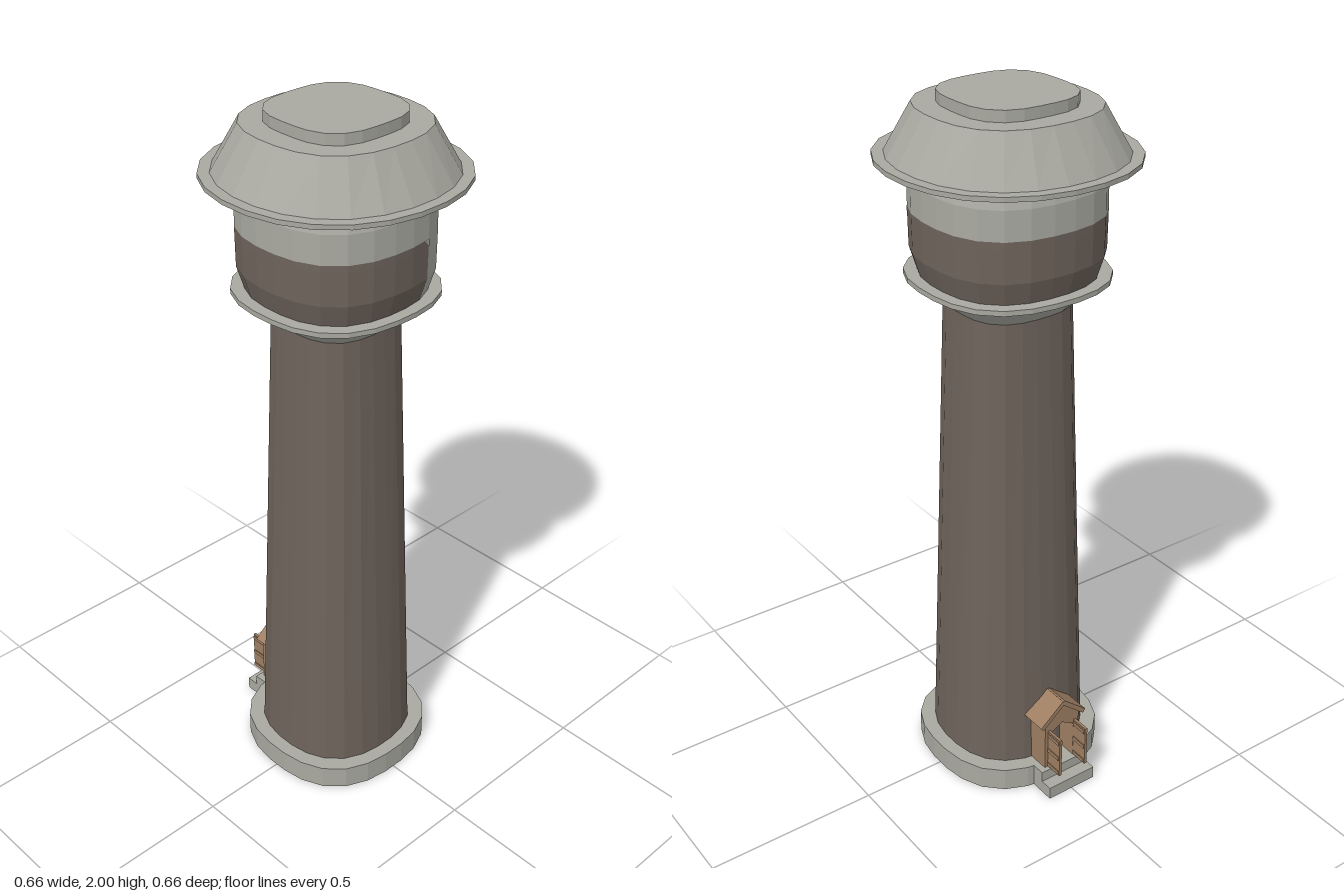
import * as THREE from 'three';

const SIDES = 24;
const paint = (name, color) => Object.assign(new THREE.MeshStandardMaterial({ color, flatShading: true }), { name });

// Point on a slightly squared ring; b is how far the diagonals bulge
function ringPoint([y, r, b], j) {
  const a = ((j + 0.5) / SIDES) * Math.PI * 2;
  const k = r * (1 + b * Math.sin(2 * a) ** 2);
  return [k * Math.sin(a), y, k * Math.cos(a)];
}

// Skin between rings [y, radius, bulge], bottom to top; pick() chooses a material index
function rings(name, rows, material, pick = () => 0) {
  const pos = [], geo = new THREE.BufferGeometry();
  for (let i = 0; i < rows.length - 1; i++) {
    for (let j = 0; j < SIDES; j++) {
      const [p, q] = [rows[i], rows[i + 1]];
      const [a, b, c, d] = [ringPoint(p, j), ringPoint(p, j + 1), ringPoint(q, j + 1), ringPoint(q, j)];
      const start = pos.length / 3;
      if (p[1] > 0) pos.push(...a, ...b, ...c);
      else pos.push(...a, ...c, ...d);
      if (p[1] > 0 && q[1] > 0) pos.push(...a, ...c, ...d);
      geo.addGroup(start, pos.length / 3 - start, pick(i, j));
    }
  }
  geo.setAttribute('position', new THREE.Float32BufferAttribute(pos, 3));
  geo.computeVertexNormals();
  const mesh = new THREE.Mesh(geo, Array.isArray(material) ? material : [material]);
  mesh.name = name;
  return mesh;
}

// Closed drum between two rings
const drum = (name, y0, r0, b0, y1, r1, b1, mat) =>
  rings(name, [[y0, 0, 0], [y0, r0, b0], [y1, r1, b1], [y1, 0, 0]], mat);

function box(name, w, h, d, x, y, z, mat) {
  const mesh = new THREE.Mesh(new THREE.BoxGeometry(w, h, d), mat);
  mesh.position.set(x, y, z);
  mesh.name = name;
  return mesh;
}

export function createModel() {
  const stone = paint('pale stone', 0xa9a9a1);
  const brick = paint('dark brown', 0x6e635b);
  const wood = paint('wood', 0x9e7f63);
  const model = new THREE.Group();
  model.name = 'lighthouse';

  // Tower
  model.add(drum('base', 0, 0.25, 0.07, 0.07, 0.25, 0.07, stone));
  model.add(drum('shaft', 0.07, 0.21, 0.06, 1.45, 0.156, 0.1, brick));
  model.add(drum('corbel', 1.445, 0.156, 0.1, 1.516, 0.225, 0.07, stone));
  model.add(drum('gallery', 1.514, 0.255, 0.075, 1.528, 0.255, 0.075, stone));

  // Lantern room: brown band with one pale gap on the front left corner
  const lantern = [[1.528, 0.222, 0.07], [1.59, 0.24, 0.07], [1.68, 0.241, 0.07],
    [1.7, 0.241, 0.07], [1.78, 0.24, 0.07], [1.84, 0.222, 0.07]];
  const gap = (j) => j === 1 || j === 2;
  model.add(rings('lanternRoom', lantern, [stone, brick], (i, j) => (i < 3 && !gap(j) ? 1 : 0)));

  // Pale corner trims that cut the top corners of the band
  const out = (row) => [row[0], row[1] + 0.0015, row[2]];
  const [low, high] = [out(lantern[2]), out(lantern[3])];
  const mix = (p, q, t) => p.map((v, i) => v + (q[i] - v) * t);
  const trim = new THREE.BufferGeometry();
  trim.setAttribute('position', new THREE.Float32BufferAttribute([
    ...ringPoint(low, 1), ...ringPoint(high, 1), ...mix(ringPoint(high, 1), ringPoint(high, 0), 0.3),
    ...ringPoint(low, 3), ...mix(ringPoint(high, 3), ringPoint(high, 4), 0.3), ...ringPoint(high, 3)], 3));
  trim.computeVertexNormals();
  const trimMesh = new THREE.Mesh(trim, stone);
  trimMesh.name = 'bandCornerTrim';
  model.add(trimMesh);

  // Roof
  model.add(drum('roofBrim', 1.832, 0.334, 0.03, 1.845, 0.334, 0.03, stone));
  model.add(drum('roof', 1.845, 0.304, 0.03, 1.97, 0.226, 0.07, stone));
  model.add(drum('roofCap', 1.97, 0.16, 0.12, 2, 0.16, 0.12, stone));

  // Entrance steps at the back
  model.add(box('upperStep', 0.16, 0.035, 0.1, 0, 0.0525, -0.232, stone));
  model.add(box('lowerStep', 0.16, 0.038, 0.12, 0, 0.019, -0.26, stone));

  // Gabled porch with a doorway
  const porch = new THREE.Group();
  porch.name = 'porch';
  const wall = new THREE.Shape();
  [[-0.06, 0], [-0.042, 0], [-0.042, 0.115], [0, 0.14], [0.042, 0.115], [0.042, 0], [0.06, 0], [0.06, 0.16], [0, 0.21], [-0.06, 0.16]]
    .forEach(([x, y], i) => (i ? wall.lineTo(x, y) : wall.moveTo(x, y)));
  const walls = new THREE.Mesh(new THREE.ExtrudeGeometry(wall, { depth: 0.08, bevelEnabled: false }), wood);
  walls.position.z = -0.268;
  walls.name = 'porchWalls';
  porch.add(walls);
  for (const s of [-1, 1]) {
    // Roof slab, open door leaf and its rails
    const slab = box('porchRoof', 0.1, 0.014, 0.095, s * 0.037, 0.183, -0.2275, wood);
    slab.rotation.z = -s * Math.atan2(0.05, 0.06);
    porch.add(slab);
    porch.add(box('doorLeaf', 0.008, 0.128, 0.055, s * 0.046, 0.066, -0.296, wood));
    for (const y of [0.012, 0.064, 0.118]) {
      porch.add(box('doorRail', 0.014, 0.012, 0.05, s * 0.046, y, -0.296, wood));
    }
  }
  porch.position.y = 0.07;
  model.add(porch);
  return model;
}
